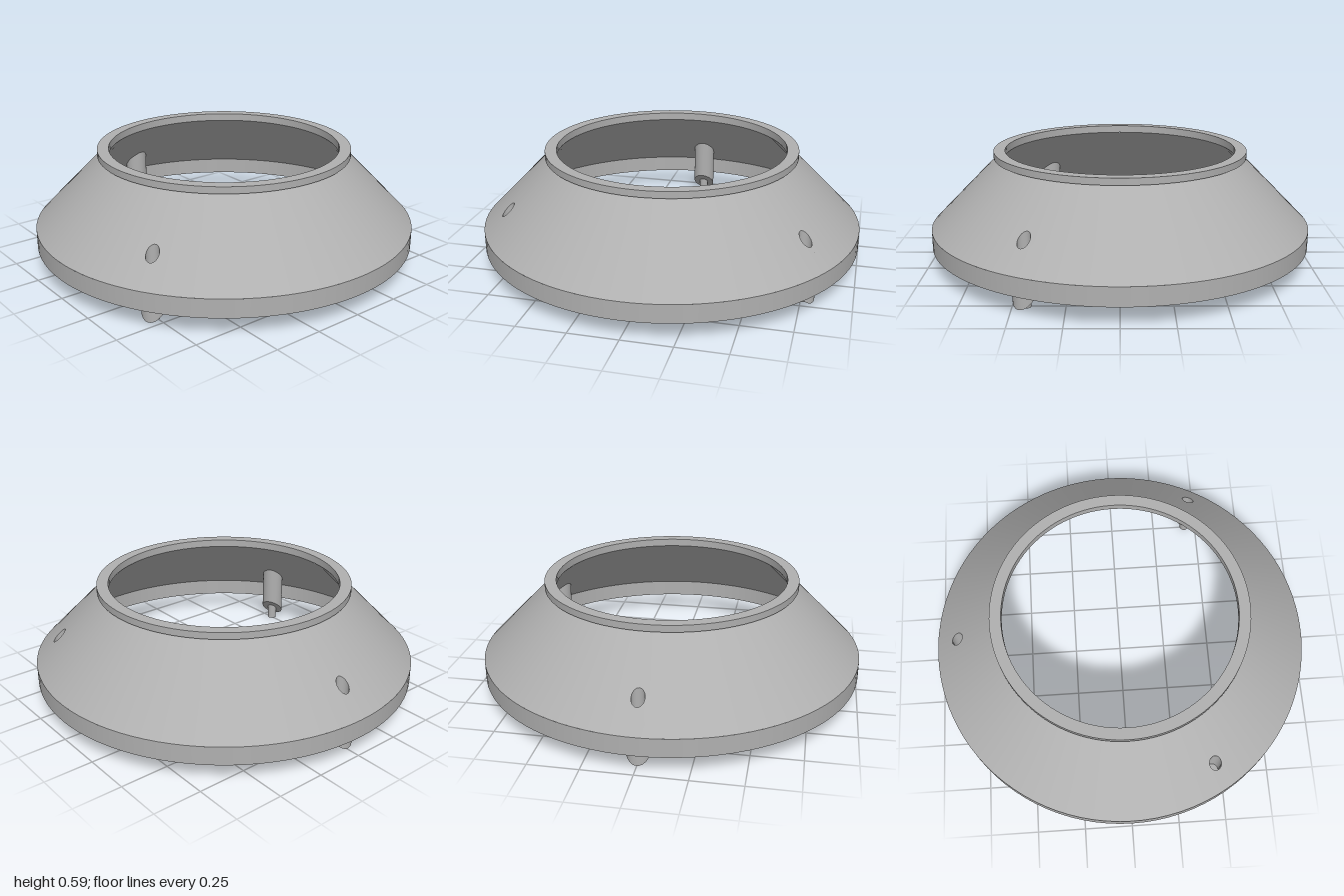
import * as THREE from 'three';

const SEG = 96, PEG_R = 0.872, HOLE_R = 0.032, FLOOR_Y = 0.14, HALF = Math.PI / 32;
const PEG_ANGLES = [Math.PI / 3, Math.PI, Math.PI * 5 / 3];
const OUTER = [[1, 0.195], [0.645, 0.555]];   // [radius, height]
const INNER = [[0.605, 0.55], [0.96, 0.19]];

const heightOn = ([[r0, y0], [r1, y1]], r) => y0 + (y1 - y0) * (r - r0) / (r1 - r0);

// Reshape vertices: rule(x, y, z) returns the new height
function setHeights(geo, rule) {
  const p = geo.attributes.position;
  for (let i = 0; i < p.count; i++) p.setY(i, rule(p.getX(i), p.getY(i), p.getZ(i)));
  return geo;
}

// Narrow strip of a cone, centred on angle phi, pierced by a vertical round hole
function piercedStrip(line, phi) {
  const [[r0, y0], [r1, y1]] = line;
  const lo = Math.min(r0, r1), hi = Math.max(r0, r1), edge = [], round = [];
  for (let i = 0; i <= 6; i++) edge.push(new THREE.Vector2(-HALF + HALF * i / 3, lo));
  for (let i = 6; i >= 0; i--) edge.push(new THREE.Vector2(-HALF + HALF * i / 3, hi));
  for (let i = 0; i < 32; i++) {
    const a = i * Math.PI / 16, z = PEG_R + HOLE_R * Math.cos(a), x = HOLE_R * Math.sin(a);
    round.push(new THREE.Vector2(Math.atan2(x, z), Math.hypot(x, z)));
  }
  const shape = new THREE.Shape(edge);
  shape.holes.push(new THREE.Path(round));
  const geo = new THREE.ShapeGeometry(shape);
  const p = geo.attributes.position, n = geo.attributes.normal;
  const len = Math.hypot(r1 - r0, y1 - y0), nr = (y1 - y0) / len, ny = (r0 - r1) / len;
  for (let i = 0; i < p.count; i++) {
    const a = phi + p.getX(i), r = p.getY(i);
    p.setXYZ(i, r * Math.sin(a), heightOn(line, r), r * Math.cos(a));
    n.setXYZ(i, nr * Math.sin(a), ny, nr * Math.cos(a));
  }
  if (ny > 0) geo.index.array.reverse();
  return geo;
}

export function createModel() {
  const model = new THREE.Group();
  const grey = new THREE.MeshStandardMaterial({ color: 0xb0b0b0 });
  grey.name = 'grey';
  const add = (name, geo, parent = model) => {
    const mesh = new THREE.Mesh(geo, grey);
    mesh.name = name;
    parent.add(mesh);
    return mesh;
  };
  const lathe = (pts, seg = SEG, start = 0, sweep = Math.PI * 2) =>
    new THREE.LatheGeometry(pts.map(([r, y]) => new THREE.Vector2(r, y)), seg, start, sweep);

  // Plain bands of the ring, one per crisp edge
  const bands = {
    baseBand: [[1, 0.1], OUTER[0]],
    collarUnderside: [OUTER[1], [0.665, 0.555]],
    collarSide: [[0.665, 0.555], [0.665, 0.59]],
    collarTop: [[0.665, 0.59], [0.605, 0.59]],
    collarBore: [[0.605, 0.59], INNER[0]],
    baseBore: [INNER[1], [0.96, 0.1]],
    baseUnderside: [[0.96, 0.1], [1, 0.1]],
  };
  for (const [name, pts] of Object.entries(bands)) add(name, lathe(pts));

  // Conical skins: three plain sweeps joined by three pierced strips
  for (const [name, line] of [['outerCone', OUTER], ['innerCone', INNER]]) {
    for (const phi of PEG_ANGLES) {
      add(name, lathe(line, 30, phi + HALF, Math.PI * 2 / 3 - 2 * HALF));
      add(name + 'HoleStrip', piercedStrip(line, phi));
    }
  }

  // Pegs: local +z points outward from the ring's axis
  const radius = (x, z) => Math.hypot(x, z + PEG_R);
  const slant = (x, y, z) => 0.937 - (PEG_R + z);
  for (const phi of PEG_ANGLES) {
    const peg = new THREE.Group();
    peg.name = 'peg';
    peg.position.set(PEG_R * Math.sin(phi), 0, PEG_R * Math.cos(phi));
    peg.rotation.y = phi;
    model.add(peg);

    // Boss trimmed by the cone above and a slanted cut below
    const boss = new THREE.CylinderGeometry(0.06, 0.06, 1, 40, 1, true);
    add('boss', setHeights(boss, (x, y, z) =>
      y > 0 ? heightOn(INNER, radius(x, z)) + 0.005 : slant(x, y, z)), peg);
    const cut = setHeights(new THREE.CircleGeometry(0.06, 40).rotateX(Math.PI / 2), slant);
    cut.computeVertexNormals();
    add('bossCut', cut, peg);

    // Blind hole from above
    const wall = lathe([[HOLE_R, 1], [HOLE_R, FLOOR_Y]], 32);
    add('holeWall', setHeights(wall, (x, y, z) =>
      y > 0.9 ? heightOn(OUTER, radius(x, z)) : y), peg);
    add('holeFloor', new THREE.CircleGeometry(HOLE_R, 32).rotateX(-Math.PI / 2), peg).position.y = FLOOR_Y;

    // Locating pin
    add('pin', new THREE.CylinderGeometry(0.025, 0.025, 0.12, 28), peg).position.y = 0.06;
  }
  return model;
}
